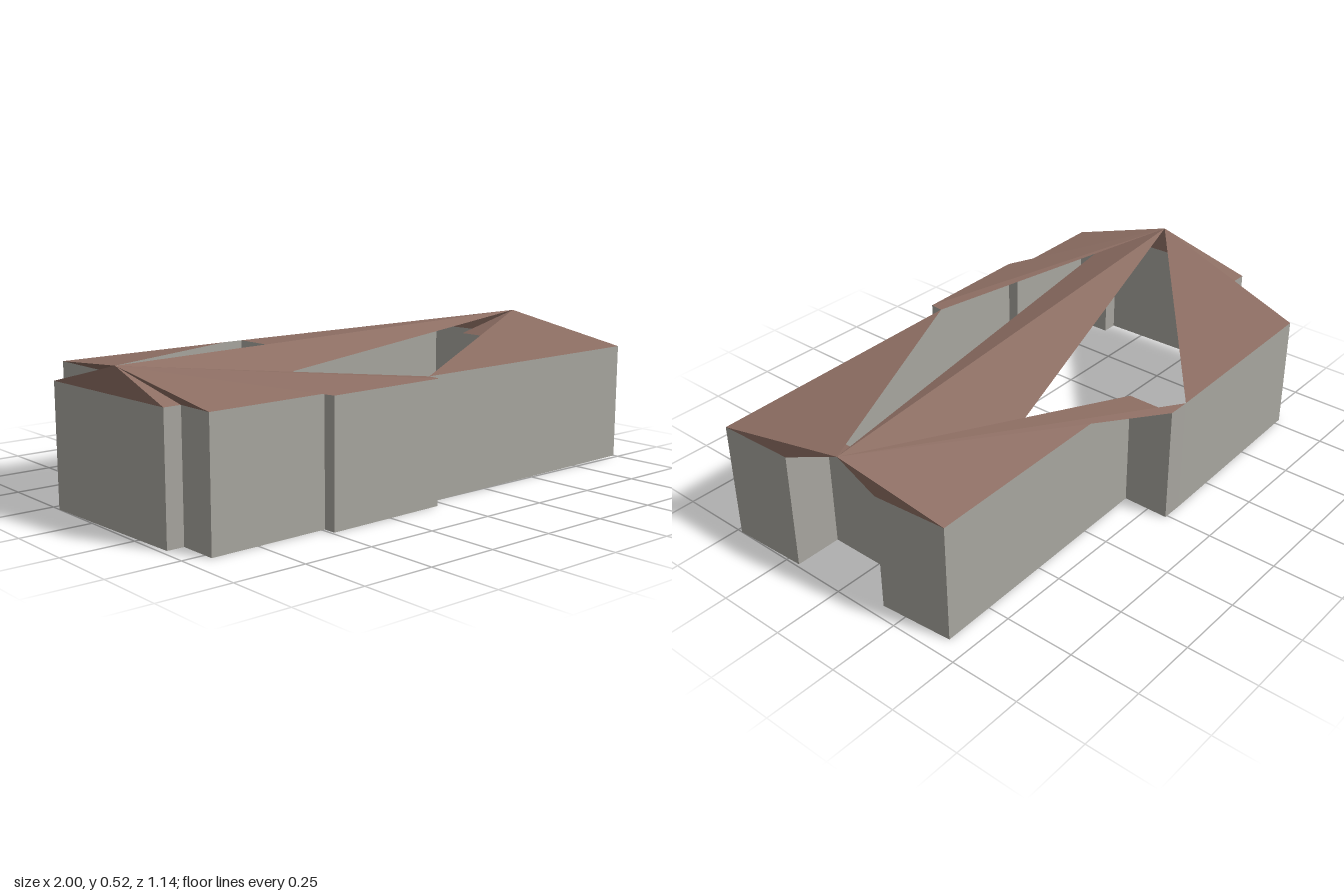
import * as THREE from 'three';

const EAVE = 0.425, RIDGE = 0.52;

// Footprint corners (x, z), counter-clockwise seen from above
const leftRun = [ // corners whose roof facets meet at the -x ridge end
  [-0.07, -0.575], [-0.78, -0.555], [-0.78, -0.21], [-1.0, -0.21], [-0.98, 0.395],
  [-0.92, 0.395], [-0.92, 0.535], [-0.49, 0.525], [-0.49, 0.57], [-0.035, 0.558], [-0.03, 0.507],
];
const rightRun = [ // corners whose roof facets meet at the +x ridge end
  [-0.03, 0.507], [1.0, 0.48], [0.99, 0.2], [0.82, 0.2], [0.82, -0.16],
  [0.955, -0.16], [0.935, -0.425], [0.01, -0.405], [0.01, -0.575], [-0.07, -0.575],
];

const at = ([x, z], y) => new THREE.Vector3(x, y, z);

function meshFrom(name, points, material) {
  const geometry = new THREE.BufferGeometry().setFromPoints(points);
  geometry.computeVertexNormals();
  const mesh = new THREE.Mesh(geometry, material);
  mesh.name = name;
  return mesh;
}

// Vertical wall panels along a run of corners
function wallPoints(run) {
  const points = [];
  for (let i = 0; i < run.length - 1; i++) {
    const a = at(run[i], 0), b = at(run[i + 1], 0);
    const c = at(run[i + 1], EAVE), d = at(run[i], EAVE);
    points.push(a, b, c, a, c, d);
  }
  return points;
}

// Triangular facets from each eave edge to one ridge end
function fanPoints(run, apex) {
  const points = [];
  for (let i = 0; i < run.length - 1; i++) {
    points.push(at(run[i], EAVE), at(run[i + 1], EAVE), apex);
  }
  return points;
}

export function createModel() {
  const wall = new THREE.MeshStandardMaterial({ color: 0xa8a69f, side: THREE.DoubleSide, flatShading: true });
  wall.name = 'wallGrey';
  const roof = new THREE.MeshStandardMaterial({ color: 0x8d6e63, side: THREE.DoubleSide, flatShading: true });
  roof.name = 'roofBrown';

  const leftEnd = at([-1.0, 0.17], RIDGE), rightEnd = at([0.975, -0.03], RIDGE);
  const group = new THREE.Group();
  group.name = 'building';
  group.add(
    meshFrom('leftWalls', wallPoints(leftRun), wall),
    meshFrom('rightWalls', wallPoints(rightRun), wall),
    meshFrom('leftRoof', fanPoints(leftRun, leftEnd), roof),
    meshFrom('rightRoof', fanPoints(rightRun, rightEnd), roof),
    // Long facets either side of the ridge
    meshFrom('frontRidgeSlope', [at(leftRun[4], EAVE), rightEnd, leftEnd], roof),
    meshFrom('backRidgeSlope', [at(rightRun[6], EAVE), leftEnd, rightEnd], roof),
  );
  return group;
}
